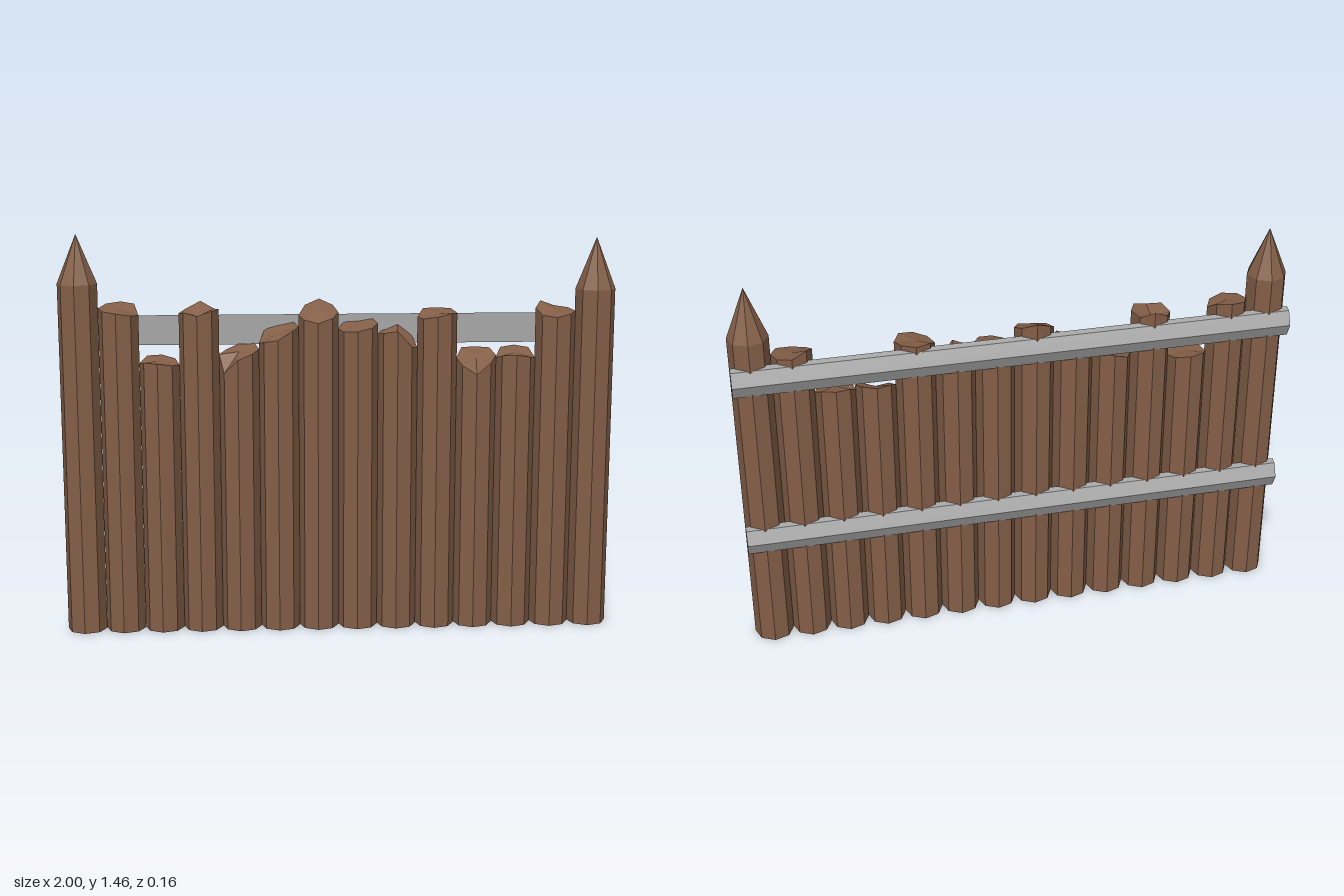
import * as THREE from 'three';

const SPACING = 0.1427, RADIUS = 0.0717, POST_Z = 0.0095;

// One entry per post, left to right as seen from the front:
// [centre height, then rim heights: right, right-front, front, left-front, left, left-back, back, right-back]
const spike = (tip, rim) => [tip, ...Array(8).fill(rim)];
const TOPS = [
  spike(1.455, 1.28),
  [1.19, 1.165, 1.17, 1.18, 1.185, 1.19, 1.2, 1.205, 1.2],
  [1.0, 0.985, 0.99, 1.0, 1.0, 0.99, 1.01, 1.01, 1.0],
  [1.16, 1.185, 1.185, 1.17, 1.18, 1.17, 1.18, 1.205, 1.18],
  [1.03, 1.04, 1.03, 1.01, 0.96, 1.02, 1.03, 1.05, 1.055],
  [1.1, 1.12, 1.11, 1.08, 1.07, 1.06, 1.11, 1.13, 1.13],
  [1.18, 1.17, 1.155, 1.14, 1.15, 1.16, 1.19, 1.21, 1.19],
  [1.125, 1.13, 1.12, 1.11, 1.105, 1.11, 1.13, 1.135, 1.14],
  [1.1, 1.04, 1.05, 1.11, 1.1, 1.09, 1.1, 1.13, 1.08],
  [1.165, 1.165, 1.17, 1.16, 1.15, 1.15, 1.175, 1.175, 1.175],
  [1.0, 1.01, 0.99, 0.95, 0.98, 1.0, 1.03, 1.03, 1.03],
  [1.02, 1.0, 1.01, 1.02, 1.015, 1.0, 1.03, 1.035, 1.03],
  [1.17, 1.17, 1.165, 1.155, 1.16, 1.18, 1.2, 1.18, 1.175],
  spike(1.435, 1.25),
];

// Eight-sided log whose top vertices are moved to the given heights
function postGeometry(tops) {
  const geo = new THREE.CylinderGeometry(RADIUS, RADIUS, 1, 8, 1);
  geo.translate(0, 0.5, 0);
  const p = geo.attributes.position;
  for (let i = 0; i < p.count; i++) {
    if (p.getY(i) < 0.5) continue;
    const x = p.getX(i), z = p.getZ(i);
    const k = (Math.round(Math.atan2(z, x) / (Math.PI / 4)) + 8) % 8;
    p.setY(i, Math.hypot(x, z) < 0.01 ? tops[0] : tops[k + 1]);
  }
  geo.rotateY(-0.07);
  const flat = geo.toNonIndexed();
  flat.computeVertexNormals();
  return flat;
}

// Split-log rail: half-round section swept along x
function railGeometry() {
  const section = new THREE.Shape([
    [0.034, -0.054], [0.058, -0.049], [0.081, 0], [0.058, 0.049], [0.034, 0.054],
  ].map(([back, y]) => new THREE.Vector2(back, y)));
  const geo = new THREE.ExtrudeGeometry(section, { depth: 2, bevelEnabled: false });
  geo.translate(0, 0, -1);
  geo.rotateY(Math.PI / 2); // section faces -z, length runs along x
  return geo;
}

export function createModel() {
  const wood = new THREE.MeshStandardMaterial({ color: 0x845f48, flatShading: true });
  wood.name = 'brown wood';
  const grey = new THREE.MeshStandardMaterial({ color: 0xa6a6a6, flatShading: true });
  grey.name = 'grey rail';

  const model = new THREE.Group();
  model.name = 'palisadeFence';

  // Row of upright logs: pointed at both ends, broken between
  TOPS.forEach((tops, i) => {
    const post = new THREE.Mesh(postGeometry(tops), wood);
    post.name = i === 0 || i === TOPS.length - 1 ? 'pointedPost' : 'brokenPost';
    post.position.set((i - (TOPS.length - 1) / 2) * SPACING, 0, POST_Z);
    model.add(post);
  });

  // Two rails across the back
  for (const [name, y] of [['lowerRail', 0.452], ['upperRail', 1.104]]) {
    const rail = new THREE.Mesh(railGeometry(), grey);
    rail.name = name;
    rail.position.y = y;
    model.add(rail);
  }
  return model;
}
